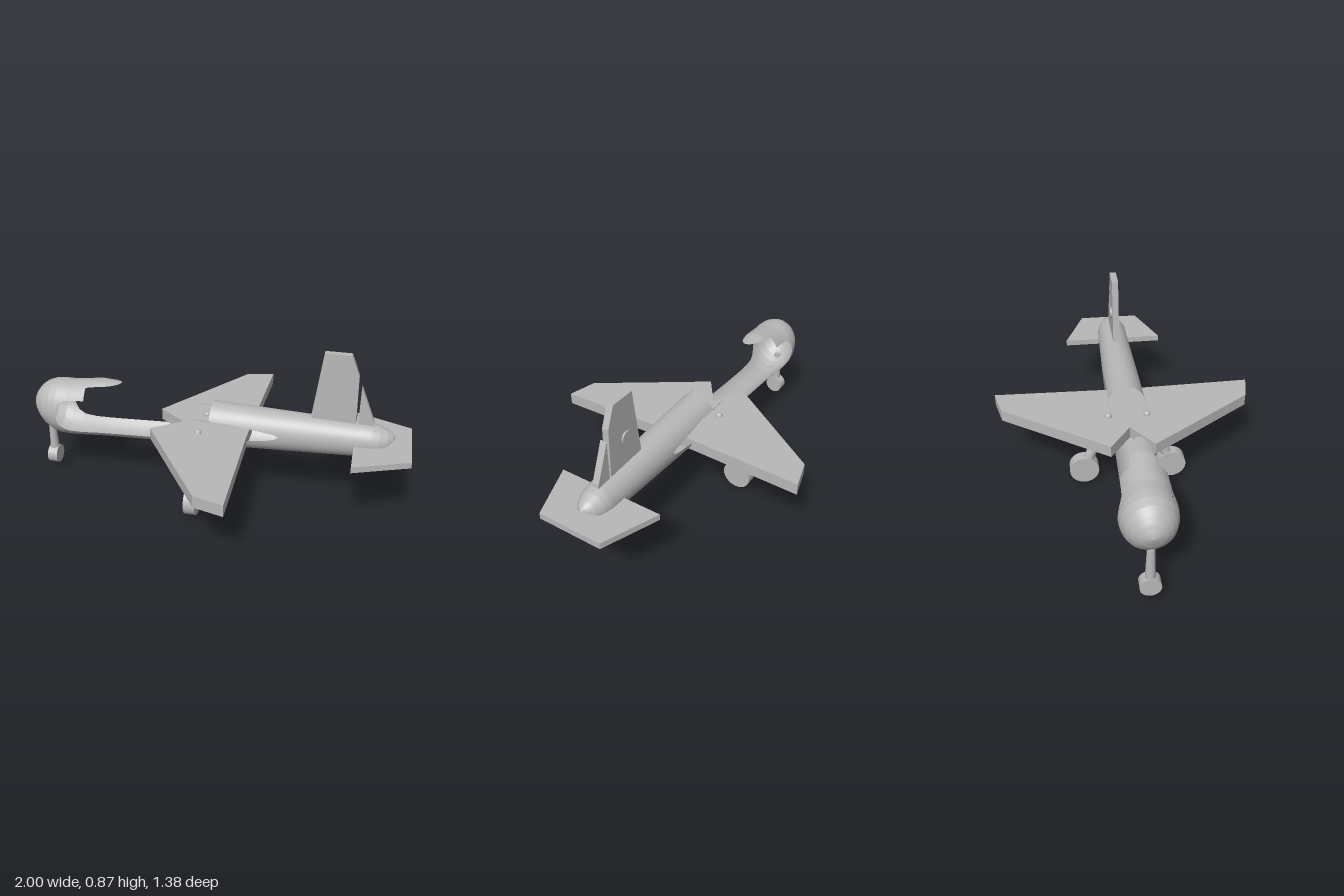
import * as THREE from 'three';

// Piecewise linear lookup: rows of [x, a, b, ...]
function lookup(rows, x, col = 1) {
  if (x <= rows[0][0]) return rows[0][col];
  for (let i = 1; i < rows.length; i++) {
    const p = rows[i - 1], q = rows[i];
    if (x <= q[0]) return p[col] + (q[col] - p[col]) * (x - p[0]) / (q[0] - p[0]);
  }
  return rows[rows.length - 1][col];
}

// Fuselage sections: x, top, bottom, half width
const SECTIONS = [
  [-1, 0.44, 0.44, 0], [-0.993, 0.468, 0.415, 0.03], [-0.975, 0.503, 0.37, 0.064],
  [-0.95, 0.533, 0.335, 0.092], [-0.92, 0.555, 0.302, 0.113], [-0.88, 0.57, 0.277, 0.128],
  [-0.84, 0.575, 0.264, 0.133], [-0.78, 0.575, 0.261, 0.131], [-0.68, 0.588, 0.266, 0.125],
  [-0.62, 0.597, 0.27, 0.122], [-0.5, 0.59, 0.275, 0.118], [0, 0.535, 0.295, 0.105],
  [0.8, 0.507, 0.33, 0.082], [0.84, 0.497, 0.34, 0.074], [0.88, 0.481, 0.36, 0.056],
  [0.905, 0.465, 0.39, 0.033], [0.92, 0.45, 0.44, 0],
];

function section(x) {
  const top = lookup(SECTIONS, x, 1), bottom = lookup(SECTIONS, x, 2);
  return { cy: (top + bottom) / 2, ry: (top - bottom) / 2, rz: lookup(SECTIONS, x, 3) };
}

// Thin skin from x0 to x1, centred on angle mid (0 = top), reaching halfAngle(x) each way
function skin(x0, x1, mid, halfAngle, nx = 40, na = 40) {
  const pos = [], index = [];
  for (let i = 0; i <= nx; i++) {
    const x = x0 + (x1 - x0) * i / nx, s = section(x), half = halfAngle(x, s);
    for (let j = 0; j <= na; j++) {
      const a = mid + half * (2 * j / na - 1);
      pos.push(x, s.cy + s.ry * Math.cos(a), s.rz * Math.sin(a));
      if (i < nx && j < na) {
        const k = i * (na + 1) + j;
        index.push(k, k + 1, k + na + 1, k + 1, k + na + 2, k + na + 1);
      }
    }
  }
  const g = new THREE.BufferGeometry();
  g.setAttribute('position', new THREE.Float32BufferAttribute(pos, 3));
  g.setIndex(index);
  g.computeVertexNormals();
  return g;
}

// Angle at which a section meets the height given by an edge line
const cosAt = (edge, x, s) =>
  s.ry < 1e-4 ? 0 : THREE.MathUtils.clamp((lookup(edge, x) - s.cy) / s.ry, -1, 1);
const above = edge => (x, s) => Math.acos(cosAt(edge, x, s));
const below = edge => (x, s) => Math.PI - Math.acos(cosAt(edge, x, s));

// Plate extruded from an outline
function plate(points, depth) {
  const shape = new THREE.Shape(points.map(p => new THREE.Vector2(p[0], p[1])));
  return new THREE.ExtrudeGeometry(shape, { depth, bevelEnabled: false });
}
const flatPlate = (points, top, bottom) =>
  plate(points, top - bottom).rotateX(Math.PI / 2).translate(0, top, 0);
const finPlate = points => plate(points, 0.034).translate(0, 0, -0.017);

// Tapered round strut between two points
function strut(from, to, r0, r1) {
  const a = new THREE.Vector3(...from), b = new THREE.Vector3(...to);
  const d = b.clone().sub(a);
  const g = new THREE.CylinderGeometry(r1, r0, d.length(), 24);
  g.applyQuaternion(new THREE.Quaternion().setFromUnitVectors(
    new THREE.Vector3(0, 1, 0), d.normalize()));
  return g.translate(...a.add(b).multiplyScalar(0.5).toArray());
}
const wheel = (r, w, x, y, z) =>
  new THREE.CylinderGeometry(r, r, w, 40).rotateZ(Math.PI / 2).translate(x, y, z);

export function createModel() {
  const group = new THREE.Group();
  const grey = new THREE.MeshStandardMaterial({ color: 0xb8b8b8, side: THREE.DoubleSide });
  grey.name = 'plainGrey';
  const add = (name, geometry) => {
    const mesh = new THREE.Mesh(geometry, grey);
    mesh.name = name;
    group.add(mesh);
  };

  // Hollow nose and the open cockpit rim
  add('nose', skin(-1, -0.84, 0, () => Math.PI));
  add('cockpitHood', skin(-0.84, -0.68, 0, above(
    [[-0.84, 0.42], [-0.83, 0.46], [-0.815, 0.487], [-0.79, 0.503], [-0.68, 0.512]])));
  add('canopyTongue', skin(-0.68, -0.5, 0, (x, s) => {
    const t = Math.max(0, (x + 0.68) / 0.18);
    return Math.asin(Math.min(1, 0.06 * Math.sqrt(Math.max(0, 1 - t * t)) / s.rz));
  }));

  // Lower hull, with a shallow cut under the wing
  add('lowerHullFront', skin(-0.84, -0.23, Math.PI, below(
    [[-0.84, 0.4], [-0.83, 0.365], [-0.81, 0.338], [-0.77, 0.32], [-0.7, 0.317], [-0.23, 0.338]]), 60));
  add('lowerHullMiddle', skin(-0.23, 0.1, Math.PI, below([[-0.23, 0.309], [0.1, 0.313]])));
  add('lowerHullRear', skin(0.1, 0.82, Math.PI, below(
    [[0.1, 0.34], [0.2, 0.385], [0.28, 0.395], [0.33, 0.41], [0.345, 0.425], [0.8, 0.42], [0.81, 0.4], [0.82, 0.39]]), 72));

  // Upper hull, pointed side opening and tail cap
  add('upperHull', skin(-0.01, 0.82, 0, above(
    [[-0.01, 0.47], [0.1, 0.465], [0.25, 0.445], [0.32, 0.435], [0.345, 0.425], [0.8, 0.42], [0.81, 0.4], [0.82, 0.39]]), 83));
  add('tailCap', skin(0.82, 0.92, 0, above([[0.82, 0.39], [0.84, 0.393], [0.92, 0.448]])));
  for (const side of [-1, 1]) {
    // Thin sliver reaching forward along the cockpit side
    const tip = plate([[-0.11, 0.469], [-0.005, 0.465], [-0.005, 0.472], [-0.11, 0.471]], 0.002);
    add('sideSliver', tip.translate(0, 0, side * 0.094 - 0.001));
  }

  // Wing with a notched leading edge
  add('wing', flatPlate([[-0.17, 0], [-0.32, 0.11], [0.05, 0.65], [0.2, 0.688], [0.185, 0.1],
    [0.185, -0.1], [0.2, -0.688], [0.05, -0.65], [-0.32, -0.11]], 0.4, 0.338));

  // Tail surfaces
  add('tailplane', flatPlate([[0.72, 0.278], [1, 0.168], [1, -0.168], [0.72, -0.278]], 0.416, 0.384));
  add('fin', finPlate([[0.495, 0.505], [0.72, 0.5], [0.713, 0.76], [0.67, 0.867], [0.54, 0.867]]));
  add('rudder', finPlate([[0.73, 0.49], [0.81, 0.49], [0.807, 0.52], [0.73, 0.71]]));
  add('finDisc', new THREE.CylinderGeometry(0.033, 0.033, 0.009, 32)
    .rotateX(Math.PI / 2).translate(0.598, 0.655, -0.0212));

  // Splayed main gear; strut ends show as knobs on the wing
  for (const side of [-1, 1]) {
    add('mainStrut', strut([-0.065, 0.11, side * 0.222], [-0.065, 0.405, side * 0.098], 0.03, 0.018));
    add('strutKnob', new THREE.SphereGeometry(0.018, 20, 14).translate(-0.065, 0.402, side * 0.1));
    add('mainWheel', wheel(0.078, 0.06, -0.065, 0.078, side * 0.234));
  }

  // Nose gear
  add('noseStrut', strut([-0.927, 0.1, 0], [-0.927, 0.32, 0], 0.026, 0.018));
  add('noseWheel', wheel(0.05, 0.054, -0.927, 0.102, 0));
  return group;
}
